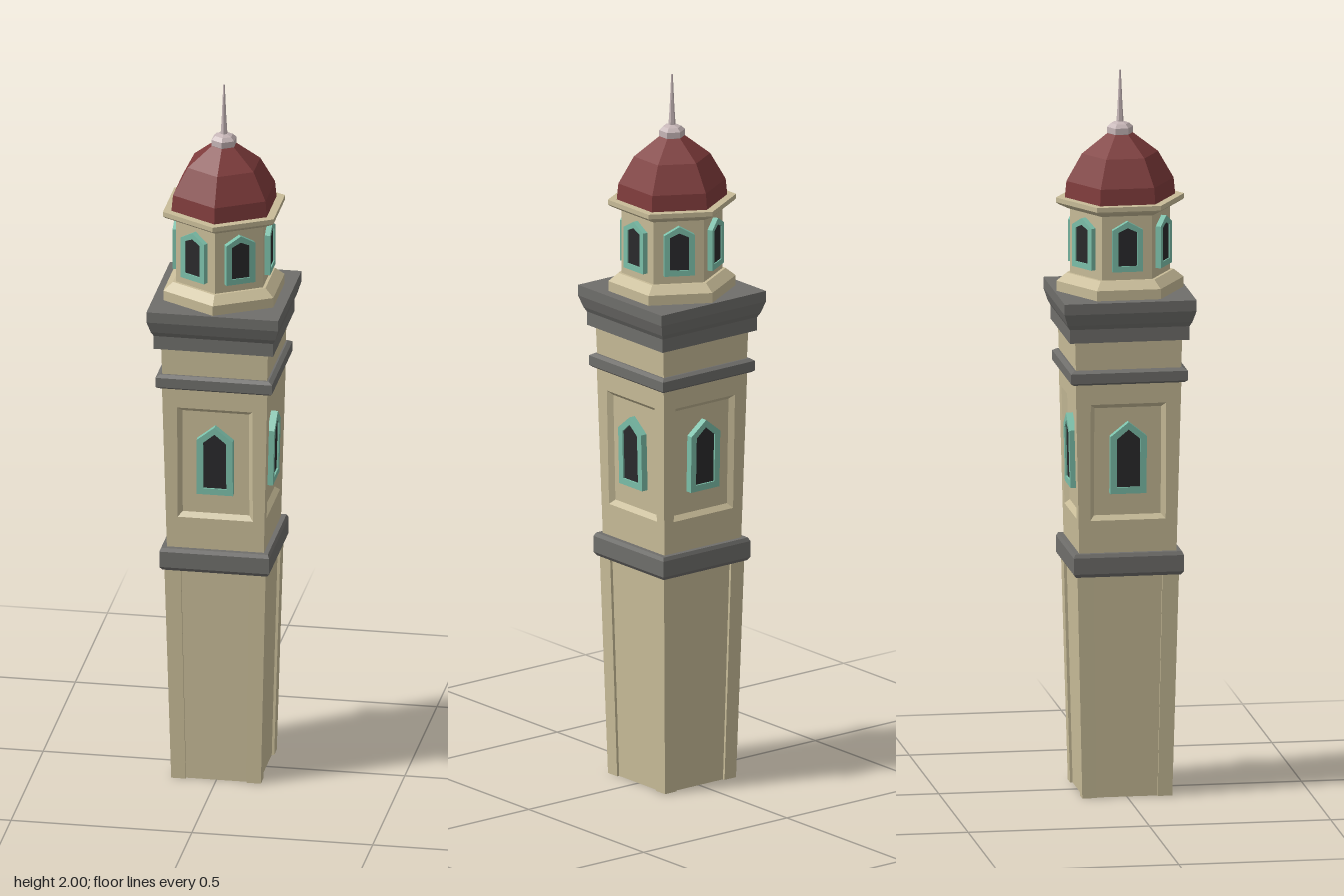
import * as THREE from 'three';

const mat = (name, color) => new THREE.MeshStandardMaterial({ name, color });

export function createModel() {
  const tower = new THREE.Group();
  tower.name = 'tower';
  const stone = mat('sandstone', 0xc8bc98);
  const grey = mat('greyTrim', 0x6f6e6b);
  const red = mat('redRoof', 0x7e3b3b);
  const teal = mat('tealFrame', 0x7cc0aa);
  const dark = mat('darkGlass', 0x2a2a2c);
  const metal = mat('paleMetal', 0xc6b6b7);

  const add = (name, geometry, material, parent = tower) => {
    const flat = geometry.index ? geometry.toNonIndexed() : geometry;
    flat.computeVertexNormals();
    const mesh = new THREE.Mesh(flat, material);
    mesh.name = name;
    parent.add(mesh);
    return mesh;
  };

  // Closed faceted solid; profile lists [half width across the flats, y] from bottom to top
  const prism = (name, sides, profile, material) => {
    const k = 1 / Math.cos(Math.PI / sides);
    const closed = [[0, profile[0][1]], ...profile, [0, profile[profile.length - 1][1]]];
    const g = new THREE.LatheGeometry(closed.map(([r, y]) => new THREE.Vector2(r * k, y)), sides);
    if (sides === 4) g.rotateY(Math.PI / 4);
    return add(name, g, material);
  };

  // Pointed window: raised frame around a set-back pane, origin at bottom centre
  const outline = (Type, w, y0, shoulder, peak) => {
    const s = new Type();
    s.moveTo(-w, y0);
    s.lineTo(w, y0);
    s.lineTo(w, shoulder);
    s.lineTo(0, peak);
    s.lineTo(-w, shoulder);
    s.closePath();
    return s;
  };
  const windowUnit = (name, w, h, border, rise, depth) => {
    const unit = new THREE.Group();
    unit.name = name;
    const inner = [w - border, border, h - rise - border * 0.4, h - border * 1.15];
    const frame = outline(THREE.Shape, w, 0, h - rise, h);
    frame.holes.push(outline(THREE.Path, ...inner));
    add('windowFrame', new THREE.ExtrudeGeometry(frame, { depth, bevelEnabled: false }), teal, unit);
    const pane = new THREE.ExtrudeGeometry(outline(THREE.Shape, ...inner), { depth: 0.005, bevelEnabled: false });
    add('windowPane', pane, dark, unit).position.z = depth * 0.5;
    return unit;
  };

  // Lower shaft: square with corner pilasters, widening upward
  const a = 0.124, b = 0.084, c = 0.117;
  const plan = new THREE.Shape();
  for (let i = 0; i < 4; i++) {
    const ang = i * Math.PI / 2;
    [[c, -b], [c, b], [a, b], [a, a], [b, a], [b, c]].forEach(([x, y]) => {
      const px = x * Math.cos(ang) - y * Math.sin(ang);
      const py = x * Math.sin(ang) + y * Math.cos(ang);
      if (plan.curves.length || plan.currentPoint.lengthSq()) plan.lineTo(px, py);
      else plan.moveTo(px, py);
    });
  }
  plan.closePath();
  const shaft = new THREE.ExtrudeGeometry(plan, { depth: 0.63, bevelEnabled: false });
  shaft.rotateX(-Math.PI / 2);
  const p = shaft.attributes.position;
  for (let i = 0; i < p.count; i++) {
    const s = 1 + 0.13 * p.getY(i) / 0.63;
    p.setXYZ(i, p.getX(i) * s, p.getY(i), p.getZ(i) * s);
  }
  add('lowerShaft', shaft, stone);

  prism('lowerBand', 4, [[0.145, 0.62], [0.152, 0.63], [0.152, 0.675], [0.147, 0.685]], grey);

  // Middle shaft: four walls, each with a sunken panel and a window
  const y0 = 0.68, y1 = 1.17;
  const half = y => 0.134 + 0.012 * (y - y0) / (y1 - y0);
  const loop = (w, lo, hi, d) => [[-1, lo], [1, lo], [1, hi], [-1, hi]]
    .map(([sx, y]) => [sx * (w || half(y)), y, half(y) - d]);
  const loops = [loop(0, y0, y1, 0), loop(0.104, 0.775, 1.1, 0), loop(0.092, 0.788, 1.088, 0.013)];
  const index = [8, 9, 10, 8, 10, 11];
  for (let l = 0; l < 2; l++) {
    for (let i = 0; i < 4; i++) {
      const o = l * 4 + i, n = l * 4 + (i + 1) % 4;
      index.push(o, n, n + 4, o, n + 4, o + 4);
    }
  }
  for (let i = 0; i < 4; i++) {
    const side = new THREE.Group();
    side.name = 'middleSide' + (i + 1);
    side.rotation.y = i * Math.PI / 2;
    const wall = new THREE.BufferGeometry();
    wall.setAttribute('position', new THREE.Float32BufferAttribute(loops.flat(2), 3));
    wall.setIndex(index);
    add('panelledWall', wall, stone, side);
    const win = windowUnit('shaftWindow', 0.05, 0.2, 0.018, 0.04, 0.02);
    win.position.set(0, 0.85, half(0.85) - 0.014);
    win.rotation.x = Math.atan(0.012 / (y1 - y0));
    side.add(win);
    tower.add(side);
  }

  // Upper shaft, bands and cornice
  prism('upperBand', 4, [[0.153, 1.157], [0.161, 1.163], [0.161, 1.19], [0.15, 1.197]], grey);
  prism('upperShaft', 4, [[0.145, 1.19], [0.148, 1.29]], stone);
  prism('cornice', 4, [[0.165, 1.277], [0.165, 1.315], [0.172, 1.328], [0.182, 1.36], [0.182, 1.39]], grey);

  // Six-sided lantern
  prism('lanternBase', 6, [[0.152, 1.385], [0.152, 1.418], [0.128, 1.44]], stone);
  prism('lanternWall', 6, [[0.12, 1.43], [0.12, 1.63]], stone);
  prism('lanternEave', 6, [[0.122, 1.618], [0.148, 1.632], [0.153, 1.637], [0.153, 1.65]], stone);
  for (let i = 0; i < 6; i++) {
    const side = new THREE.Group();
    side.name = 'lanternSide' + (i + 1);
    side.rotation.y = Math.PI / 6 + i * Math.PI / 3;
    const win = windowUnit('lanternWindow', 0.042, 0.14, 0.016, 0.024, 0.017);
    win.position.set(0, 1.465, 0.118);
    side.add(win);
    tower.add(side);
  }

  // Domed roof and finial
  prism('dome', 6, [[0.132, 1.648], [0.128, 1.695], [0.091, 1.77], [0.03, 1.825]], red);
  prism('finialCap', 6, [[0.025, 1.818], [0.031, 1.825], [0.031, 1.842], [0.022, 1.852], [0.009, 1.857]], metal);
  prism('spire', 6, [[0.009, 1.85], [0.006, 1.9], [0.002, 2]], metal);
  return tower;
}
